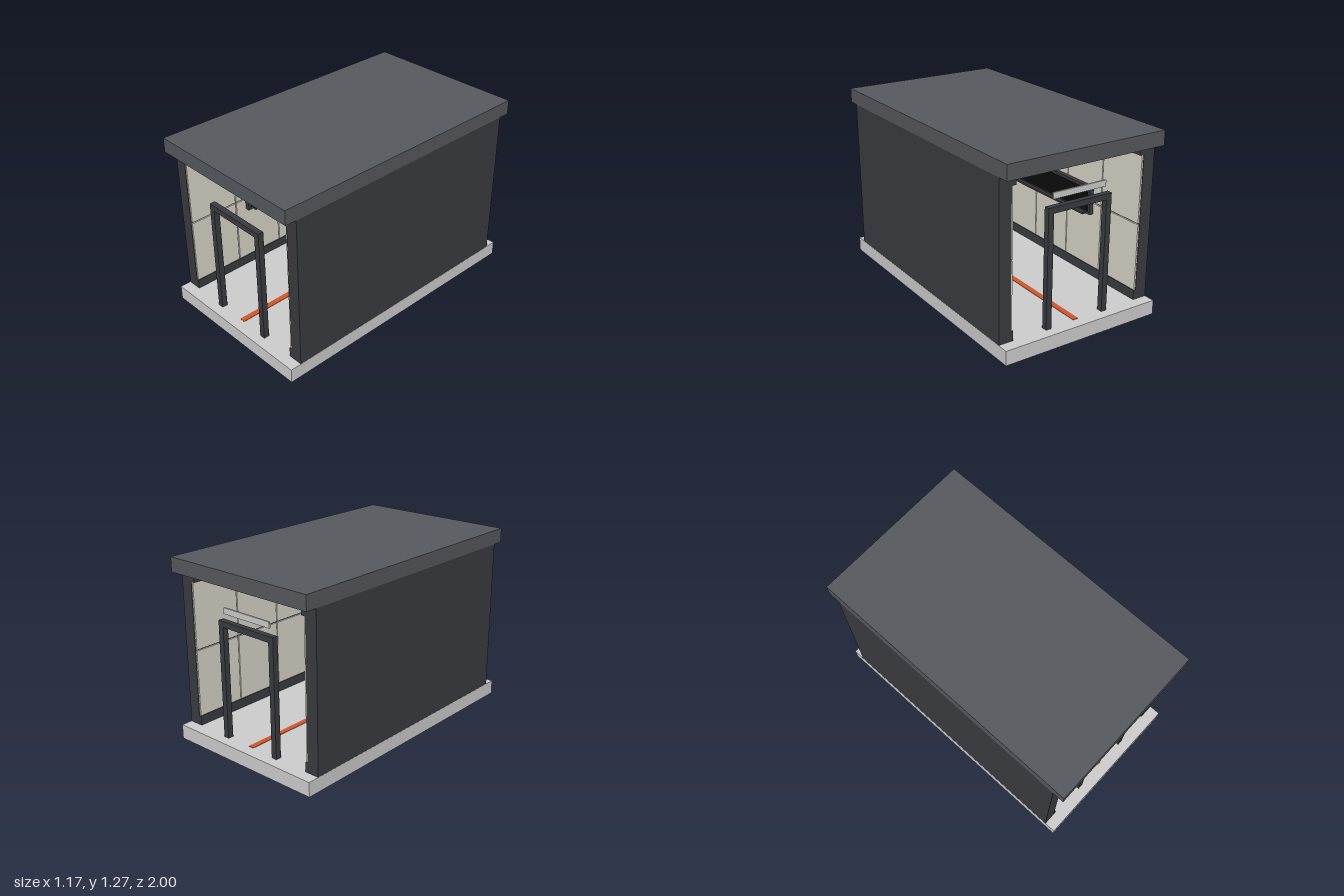
import * as THREE from 'three';

const mat = (color) => new THREE.MeshStandardMaterial({ color });

export function createModel() {
  const model = new THREE.Group();
  const grey = mat(0xcccccc), charcoal = mat(0x3a3b40), roofGrey = mat(0x55585d);
  const cream = mat(0xd8d4c8), black = mat(0x0c0c0e), orange = mat(0xd0552a);

  // Box given by its minimum and maximum along each axis
  function box(name, material, [x0, x1], [y0, y1], [z0, z1], parent = model) {
    const mesh = new THREE.Mesh(
      new THREE.BoxGeometry(Math.abs(x1 - x0), y1 - y0, z1 - z0), material);
    mesh.position.set((x0 + x1) / 2, (y0 + y1) / 2, (z0 + z1) / 2);
    mesh.name = name;
    parent.add(mesh);
    return mesh;
  }

  // Base slab, roof slab and floor stripe
  box('baseSlab', grey, [-0.585, 0.585], [0, 0.1], [-1, 1]);
  box('roofSlab', roofGrey, [-0.585, 0.585], [1.17, 1.27], [-1, 1]);
  box('floorStripe', orange, [-0.02, 0.02], [0.1, 0.103], [-0.92, 0.92]);

  // Side walls with lining panels, skirting and upper rail
  for (const s of [-1, 1]) {
    const wall = new THREE.Group();
    wall.name = s < 0 ? 'rightWall' : 'leftWall';
    model.add(wall);
    box('wallSlab', charcoal, [s * 0.497, s * 0.584], [0.1, 1.17], [-0.92, 0.92], wall);
    box('skirting', charcoal, [s * 0.48, s * 0.498], [0.1, 0.167], [-0.92, 0.92], wall);
    box('upperRail', charcoal, [s * 0.467, s * 0.498], [1.103, 1.145], [-0.92, 0.92], wall);
    const pitch = 1.84 / 5;
    for (let i = 0; i < 5; i++) {
      const z = -0.92 + i * pitch;
      for (const ys of [[0.105, 0.632], [0.64, 1.165]])
        box('liningPanel', cream, [s * 0.486, s * 0.498], ys, [z + 0.004, z + pitch - 0.004], wall);
    }
  }

  // Door frames at both ends
  for (const s of [-1, 1]) {
    const frame = new THREE.Group();
    frame.name = s > 0 ? 'frontDoorFrame' : 'backDoorFrame';
    model.add(frame);
    const zs = [s * 0.91 - 0.02, s * 0.91 + 0.02];
    for (const t of [-1, 1])
      box('doorPost', charcoal, [t * 0.2, t * 0.24], [0.1, 0.87], zs, frame);
    box('doorHeader', charcoal, [-0.24, 0.24], [0.87, 0.91], zs, frame);
  }

  // Sign board above the back door
  box('signBoard', grey, [-0.2, 0.2], [0.957, 0.998], [-0.92, -0.908]);

  // Wall display with ledge
  const display = new THREE.Group();
  display.name = 'wallDisplay';
  model.add(display);
  box('displayBody', charcoal, [-0.484, -0.452], [0.555, 0.757], [-0.47, 0.47], display);
  box('displayScreen', black, [-0.453, -0.449], [0.575, 0.737], [-0.45, 0.45], display);
  box('displayLedge', charcoal, [-0.484, -0.425], [0.553, 0.567], [-0.43, 0.43], display);

  // Hanging ceiling lamp
  const lamp = new THREE.Group();
  lamp.name = 'ceilingLamp';
  model.add(lamp);
  box('lampBody', charcoal, [-0.02, 0.02], [1.113, 1.136], [-0.72, 0.72], lamp);
  box('lampDiffuser', grey, [-0.014, 0.014], [1.11, 1.114], [-0.7, 0.7], lamp);
  for (const z of [-0.5, 0, 0.5]) {
    const rod = new THREE.Mesh(new THREE.CylinderGeometry(0.002, 0.002, 0.036, 8), charcoal);
    rod.position.set(0, 1.153, z);
    rod.name = 'lampRod';
    lamp.add(rod);
  }

  return model;
}
